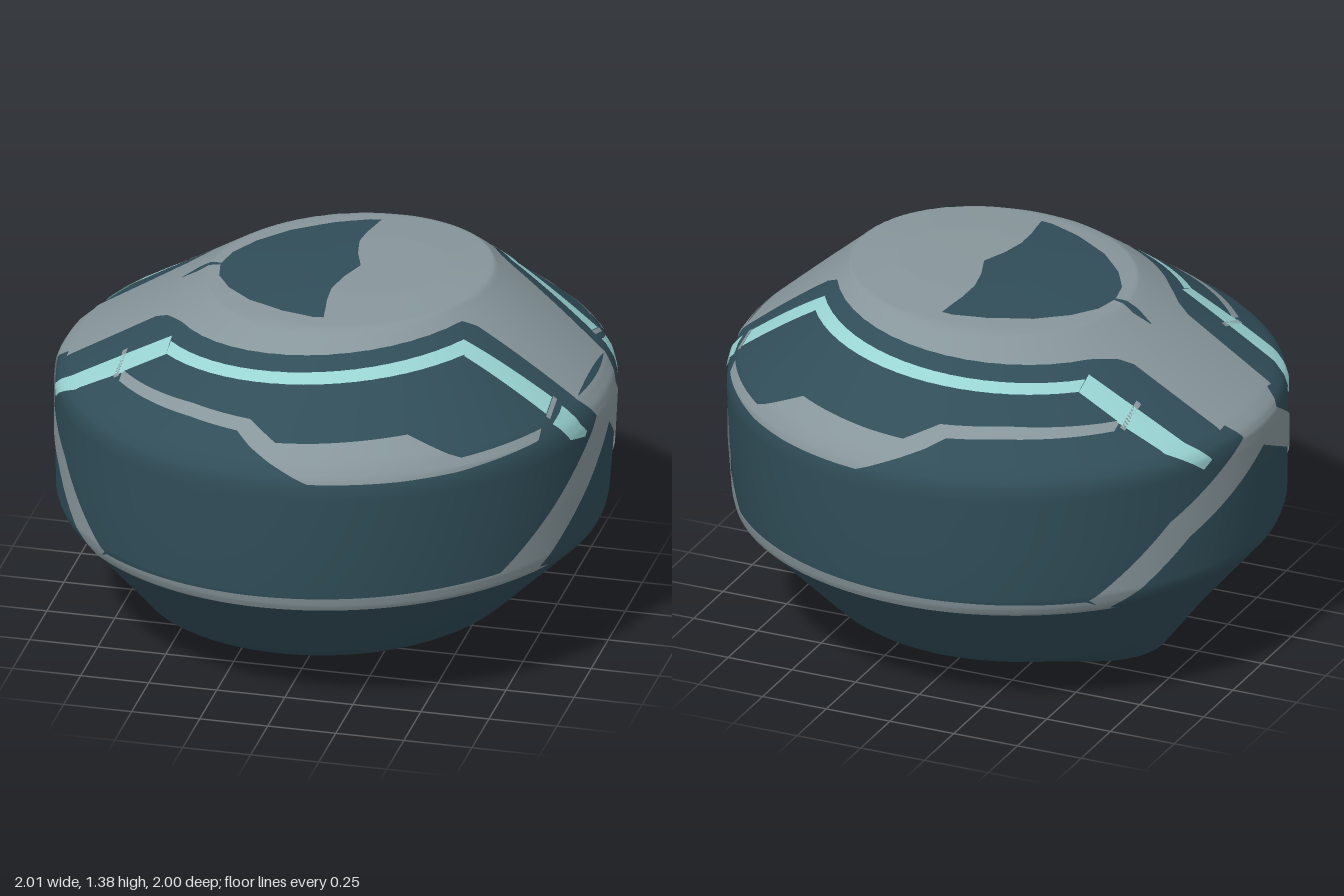
import * as THREE from 'three';

// Hull rings from the open base to the crown: height, centre x, radius, slope along x
const RINGS = [
  [0, -0.36, 0.25, 0], [0.125, -0.05, 0.655, 0], [0.145, -0.04, 0.68, 0], [0.17, -0.035, 0.703, 0],
  [0.45, -0.011, 0.966, 0], [0.475, -0.011, 0.978, 0], [0.51, -0.012, 0.987, 0],
  [0.7, -0.005, 0.995, 0], [0.9, 0, 1, 0], [0.94, 0, 0.998, 0], [0.975, 0.002, 0.985, 0.008],
  [1.015, 0.005, 0.95, 0.016], [1.31, 0.062, 0.55, 0.036], [1.33, 0.065, 0.522, 0.04],
  [1.343, 0.078, 0.487, 0.06], [1.366, 0.15, 0.25, 0.05], [1.37, 0.2, 0.001, 0.05],
];
const SEGMENTS = 144;
const STEP = 0.016;

function inside(x, y, z) {
  const height = (r) => r[0] + r[3] * (x - r[1]);
  for (let i = 0; i + 1 < RINGS.length; i++) {
    const a = RINGS[i], b = RINGS[i + 1], ha = height(a), hb = height(b);
    if (y < ha || y > hb) continue;
    const t = (y - ha) / (hb - ha);
    return Math.hypot(x - a[1] - (b[1] - a[1]) * t, z) < a[2] + (b[2] - a[2]) * t;
  }
  return false;
}

// Rays that carry flat drawing coordinates onto the hull
const RAYS = {
  top: ([x, z], t) => [x, 0.7 + t, z],
  front: ([x, y], t) => [x, y, t],
  leftEnd: ([z, y], t) => [t, y, z],
  rightEnd: ([z, y], t) => [-t, y, z],
};
function project(ray, p) {
  let lo = 0, hi = 1.2;
  for (let i = 0; i < 22; i++) {
    const mid = (lo + hi) / 2;
    if (inside(...RAYS[ray](p, mid))) lo = mid; else hi = mid;
  }
  return RAYS[ray](p, lo);
}

const mix = (a, b, t) => [a[0] + (b[0] - a[0]) * t, a[1] + (b[1] - a[1]) * t];
const dist = (a, b) => Math.hypot(a[0] - b[0], a[1] - b[1]);

function gridGeometry(rows, wrap) {
  const n = rows[0].length, index = [];
  for (let i = 0; i + 1 < rows.length; i++) {
    for (let j = 0; j < (wrap ? n : n - 1); j++) {
      const k = (j + 1) % n, a = i * n + j, b = i * n + k, c = a + n, d = b + n;
      index.push(a, c, b, b, c, d);
    }
  }
  const g = new THREE.BufferGeometry();
  g.setAttribute('position', new THREE.Float32BufferAttribute(rows.flat(2), 3));
  g.setIndex(index);
  g.computeVertexNormals();
  // Turn the faces outward when the drawing order left them reversed
  const m = Math.floor(rows.length / 2) * n + Math.floor(n / 2);
  const p = g.attributes.position, q = g.attributes.normal;
  const dot = p.getX(m) * q.getX(m) + (p.getY(m) - 0.7) * q.getY(m) + p.getZ(m) * q.getZ(m);
  if (dot < 0) {
    g.setIndex(index.reverse());
    g.computeVertexNormals();
  }
  return g;
}

export function createModel() {
  const model = new THREE.Group();
  model.name = 'hull';
  const paint = (name, color) => {
    const m = new THREE.MeshStandardMaterial({ color, side: THREE.DoubleSide });
    m.name = name;
    return m;
  };
  const dark = paint('dark teal', 0x304d58);
  const grey = paint('blue grey', 0x87969b);
  const light = paint('pale aqua', 0x98d3d2);

  const add = (name, geometry, material) => {
    const mesh = new THREE.Mesh(geometry, material);
    mesh.name = name;
    model.add(mesh);
  };

  // Thin painted panel between two matching edge lines, on both faces of the shell
  function panel(name, material, ray, edgeA, edgeB, { mirror = true, lift = 0.006 } = {}) {
    const rows = [];
    const width = Math.max(...edgeA.map((p, i) => dist(p, edgeB[i])));
    const across = Math.max(2, Math.ceil(width / STEP));
    for (let i = 0; i + 1 < edgeA.length; i++) {
      const len = Math.max(dist(edgeA[i], edgeA[i + 1]), dist(edgeB[i], edgeB[i + 1]));
      const steps = Math.max(1, Math.ceil(len / STEP));
      for (let s = i ? 1 : 0; s <= steps; s++) {
        const a = mix(edgeA[i], edgeA[i + 1], s / steps), b = mix(edgeB[i], edgeB[i + 1], s / steps);
        rows.push(Array.from({ length: across + 1 }, (_, j) => project(ray, mix(a, b, j / across))));
      }
    }
    for (const side of mirror ? [1, -1] : [1]) {
      for (const k of [1 + lift, 1 - lift]) {
        const placed = rows.map((r) => r.map(([x, y, z]) => [x * k, 0.7 + (y - 0.7) * k, z * k * side]));
        add(name, gridGeometry(placed, false), material);
      }
    }
  }
  const flip = (pts, axis) => pts.map(([a, b]) => (axis ? [a, -b] : [-a, b]));

  // Hollow shell, open at the base
  const shell = RINGS.map(([y, cx, r, slope]) => Array.from({ length: SEGMENTS }, (_, j) => {
    const t = (j / SEGMENTS) * Math.PI * 2, dx = r * Math.cos(t);
    return [cx + dx, y + slope * dx, r * Math.sin(t)];
  }));
  add('shell', gridGeometry(shell, true), dark);

  // Crown disc running out into a strap at each end
  const crown = [[-0.93, 0.215], [-0.6, 0.23], [-0.55, 0.26]];
  for (let i = 0; i <= 16; i++) {
    const t = 2.53 - (i / 16) * 2.03;
    crown.push([0.01 + 0.595 * Math.cos(t), 0.595 * Math.sin(t)]);
  }
  crown.push([0.58, 0.26], [0.93, 0.205]);
  panel('crownAndStraps', grey, 'top', crown, flip(crown, 1), { mirror: false });

  // Dark crescent and its small pointer on the crown
  const back = [[0.02, 0.42], [-0.1, 0.38], [-0.24, 0.3], [-0.34, 0.2], [-0.4, 0.1], [-0.42, 0]];
  const fore = [[0.06, 0.42], [0.05, 0.35], [0.04, 0.29], [0.035, 0.2], [0.055, 0.1], [0.09, 0]];
  const both = (e) => [...e, ...flip(e, 1).reverse().slice(1)];
  panel('crownCrescent', dark, 'top', both(back), both(fore), { mirror: false, lift: 0.01 });
  const pointer = [[-0.56, 0.002], [-0.5, 0.02], [-0.42, 0.008]];
  panel('crownPointer', dark, 'top', pointer, flip(pointer, 1), { mirror: false, lift: 0.01 });

  // Strap ends that fork into two legs
  for (const end of ['leftEnd', 'rightEnd']) {
    const fork = [[0.21, 1.035], [0.14, 0.945], [0, 0.86]];
    panel('strapFork', grey, end, fork, flip(fork, 0), { mirror: false });
  }
  panel('forkLeg', grey, 'leftEnd', [[0.14, 0.945], [0.44, 0.68], [0.62, 0.52]],
    [[0, 0.86], [0.25, 0.65], [0.47, 0.465]]);
  panel('forkLeg', grey, 'rightEnd', [[0.14, 0.945], [0.5, 0.74], [0.74, 0.495]],
    [[0, 0.86], [0.42, 0.66], [0.68, 0.44]]);

  // Belt joining the legs along the lower edge
  panel('belt', grey, 'front', [[-0.65, 0.49], [0.78, 0.52]], [[-0.72, 0.44], [0.88, 0.468]]);

  // Brow band over each flank
  panel('browBand', grey, 'front',
    [[-0.66, 1.088], [-0.34, 1.108], [-0.11, 1.108], [0, 1.062], [0.14, 1.068], [0.45, 1.085], [0.64, 1.005], [0.86, 1.014]],
    [[-0.66, 1.068], [-0.34, 1.078], [-0.15, 1.076], [-0.09, 1.045], [0.14, 0.957], [0.45, 0.959], [0.64, 0.964], [0.86, 0.985]]);

  // Pale line around the crown
  const arc = (r, from, to) => Array.from({ length: 21 }, (_, i) => {
    const t = from + ((to - from) * i) / 20;
    return [r * Math.cos(t), r * Math.sin(t)];
  });
  panel('paleArc', light, 'top', arc(0.692, 2.377, 0.604), arc(0.652, 2.44, 0.56));

  // Pale bars dropping over each end, with a narrow joint between them
  panel('paleBar', light, 'top', [[-0.5, 0.48], [-0.668, 0.485]], [[-0.5, 0.395], [-0.668, 0.39]]);
  panel('paleBar', light, 'top', [[0.57, 0.4], [0.862, 0.375]], [[0.55, 0.345], [0.862, 0.29]]);
  panel('barJoint', grey, 'top', [[-0.67, 0.5], [-0.688, 0.5]], [[-0.67, 0.36], [-0.688, 0.36]]);
  panel('barJoint', grey, 'top', [[0.864, 0.385], [0.878, 0.38]], [[0.864, 0.28], [0.878, 0.28]]);
  panel('paleBarTip', light, 'rightEnd', [[0.49, 1.085], [0.475, 0.99], [0.36, 0.9]],
    [[0.39, 1.125], [0.38, 1], [0.32, 0.925]]);
  panel('paleBarTip', light, 'leftEnd', [[0.385, 1.01], [0.335, 0.93], [0.24, 0.905]],
    [[0.29, 1.04], [0.26, 0.96], [0.225, 0.92]]);

  return model;
}
